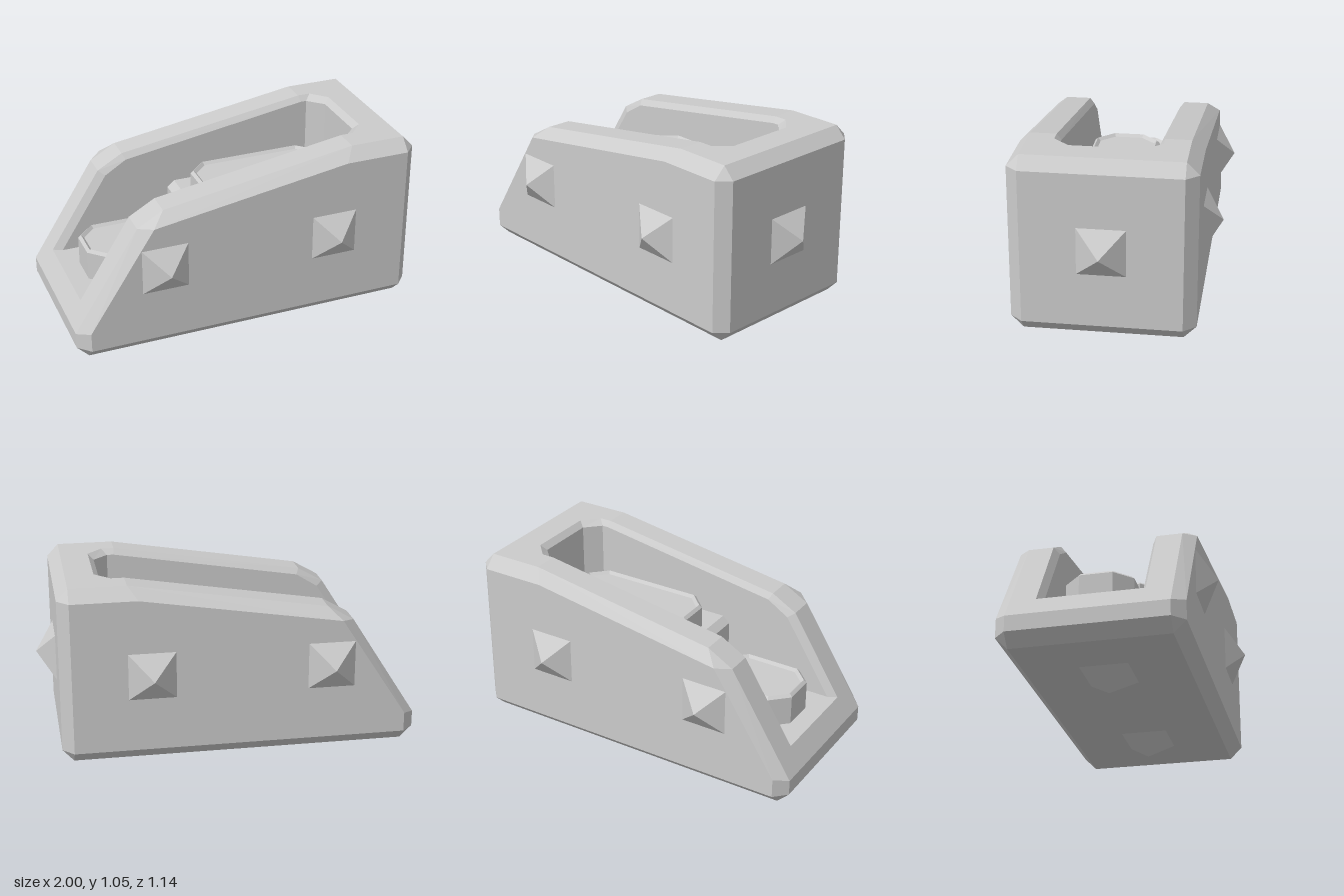
import * as THREE from 'three';

const mat = new THREE.MeshStandardMaterial({ color: 0xcccccc, flatShading: true });

// Collects flat-sided faces; every strip is mirrored across z = 0
class Skin {
  constructor() { this.pos = []; }
  tri(a, b, c) {
    const [A, B, C] = [a, b, c].map(p => new THREE.Vector3(...p));
    if (B.clone().sub(A).cross(C.clone().sub(A)).length() < 1e-7) return;
    this.pos.push(...a, ...b, ...c);
    const m = p => [p[0], p[1], -p[2]];
    this.pos.push(...m(a), ...m(c), ...m(b));
  }
  strip(A, B) {
    for (let i = 0; i < A.length - 1; i++) {
      this.tri(A[i], A[i + 1], B[i + 1]);
      this.tri(A[i], B[i + 1], B[i]);
    }
  }
  mesh(name) {
    const g = new THREE.BufferGeometry();
    g.setAttribute('position', new THREE.Float32BufferAttribute(this.pos, 3));
    g.computeVertexNormals();
    const m = new THREE.Mesh(g, mat);
    m.name = name;
    return m;
  }
}

const FLOOR = 0.36, STEP = 0.67;
const atZ = (pts, z) => pts.map(([x, y]) => [x, y, z]);

function makeHull() {
  const skin = new Skin();
  // Silhouette, and the inset side panel its chamfers run to
  const outline = [[-0.935, 0.1], [0.84, 0.1], [0.9, 0.165], [0.9, 0.985], [0.84, 1.05],
    [0.54, 1.05], [-0.51, 0.88], [-0.65, 0.8], [-1, 0.25], [-1, 0.165], [-0.935, 0.1]];
  const a = [-0.935, 0.165], b = [0.84, 0.165], c = [0.84, 0.985],
    d = [0.49, 0.985], e = [-0.58, 0.815], f = [-0.935, 0.27];
  skin.strip(atZ(outline, 0.41), atZ([a, b, b, c, c, d, e, e, f, a, a], 0.475));
  const side = atZ([a, b, c, d, e, f], 0.475);
  for (let i = 1; i < 5; i++) skin.tri(side[0], side[i], side[i + 1]);

  // Underside and both ends
  for (const part of [outline.slice(0, 5), outline.slice(8)]) skin.strip(atZ(part, 0), atZ(part, 0.41));

  // Top border, bevelled rim, cavity walls and floor
  const edge = [[0.84, 1.05, 0], [0.84, 1.05, 0.41], [0.84, 1.05, 0.41], [0.54, 1.05, 0.41],
    [-0.51, 0.88, 0.41], [-0.65, 0.8, 0.41], [-1, 0.25, 0.41], [-1, 0.25, 0]];
  const rim = [[0.69, 1.05, 0], [0.69, 1.05, 0.19], [0.61, 1.05, 0.275], [0.54, 1.05, 0.275],
    [-0.51, 0.88, 0.275], [-0.65, 0.8, 0.275], [-0.93, FLOOR, 0.275], [-0.93, FLOOR, 0]];
  const bevel = [[0.66, 1.02, 0], [0.66, 1.02, 0.17], [0.58, 1.02, 0.25], [0.545, 1.02, 0.25],
    [-0.495, 0.85, 0.25], [-0.615, 0.775, 0.25], [-0.88, FLOOR, 0.25], [-0.88, FLOOR, 0]];
  const foot = bevel.map(([x, , z]) => [x, FLOOR, z]);
  skin.strip(rim, edge);
  skin.strip(bevel, rim);
  skin.strip(foot, bevel);
  skin.strip(foot.map(([x, y]) => [x, y, 0]), foot);
  return skin.mesh('hull');
}

// Raised floor at the tall end, with a chamfered front edge
function makeStep() {
  const shape = new THREE.Shape([[-0.26, FLOOR], [0.66, FLOOR], [0.66, STEP], [-0.22, STEP], [-0.26, STEP - 0.035]]
    .map(p => new THREE.Vector2(...p)));
  const geo = new THREE.ExtrudeGeometry(shape, { depth: 0.5, bevelEnabled: false });
  const m = new THREE.Mesh(geo.translate(0, 0, -0.25), mat);
  m.name = 'raisedFloor';
  return m;
}

// Octagonal pad with a small ridge around a shallow recess
function makePad(name, x0, x1, base, top) {
  const skin = new Skin(), cx = (x0 + x1) / 2;
  const ring = (inset, y) => {
    const hx = (x1 - x0) / 2 - inset, hz = 0.178 - inset, cut = 0.092 - 0.586 * inset;
    return [[cx + hx, y, 0], [cx + hx, y, hz - cut], [cx + hx - cut, y, hz],
      [cx - hx + cut, y, hz], [cx - hx, y, hz - cut], [cx - hx, y, 0]];
  };
  const rings = [ring(0, base), ring(0, top - 0.015), ring(0.015, top), ring(0.03, top - 0.015)];
  for (let i = 0; i < 3; i++) skin.strip(rings[i + 1], rings[i]);
  skin.strip(rings[3].map(([x, y]) => [x, y, 0]), rings[3]);
  return skin.mesh(name);
}

// Four-sided pyramid stud pointing along a direction
function makeStud(name, base, dir, height) {
  const geo = new THREE.ConeGeometry(0.125 * Math.SQRT2, height, 4, 1);
  geo.rotateY(Math.PI / 4).translate(0, height / 2, 0);
  const m = new THREE.Mesh(geo, mat);
  m.quaternion.setFromUnitVectors(new THREE.Vector3(0, 1, 0), new THREE.Vector3(...dir));
  m.position.set(...base);
  m.name = name;
  return m;
}

export function createModel() {
  const model = new THREE.Group();
  model.name = 'studdedBlock';
  model.add(makeHull(), makeStep(),
    makePad('frontPad', -0.83, -0.34, FLOOR, 0.535),
    makePad('rearPad', -0.18, 0.575, STEP, 0.8));
  for (const x of [-0.525, 0.425]) {
    for (const s of [1, -1]) model.add(makeStud('sideStud', [x, 0.575, s * 0.475], [0, 0, s], 0.097));
    model.add(makeStud('bottomStud', [x, 0.1, 0], [0, -1, 0], 0.1));
  }
  model.add(makeStud('endStud', [0.9, 0.575, 0], [1, 0, 0], 0.1));
  return model;
}
